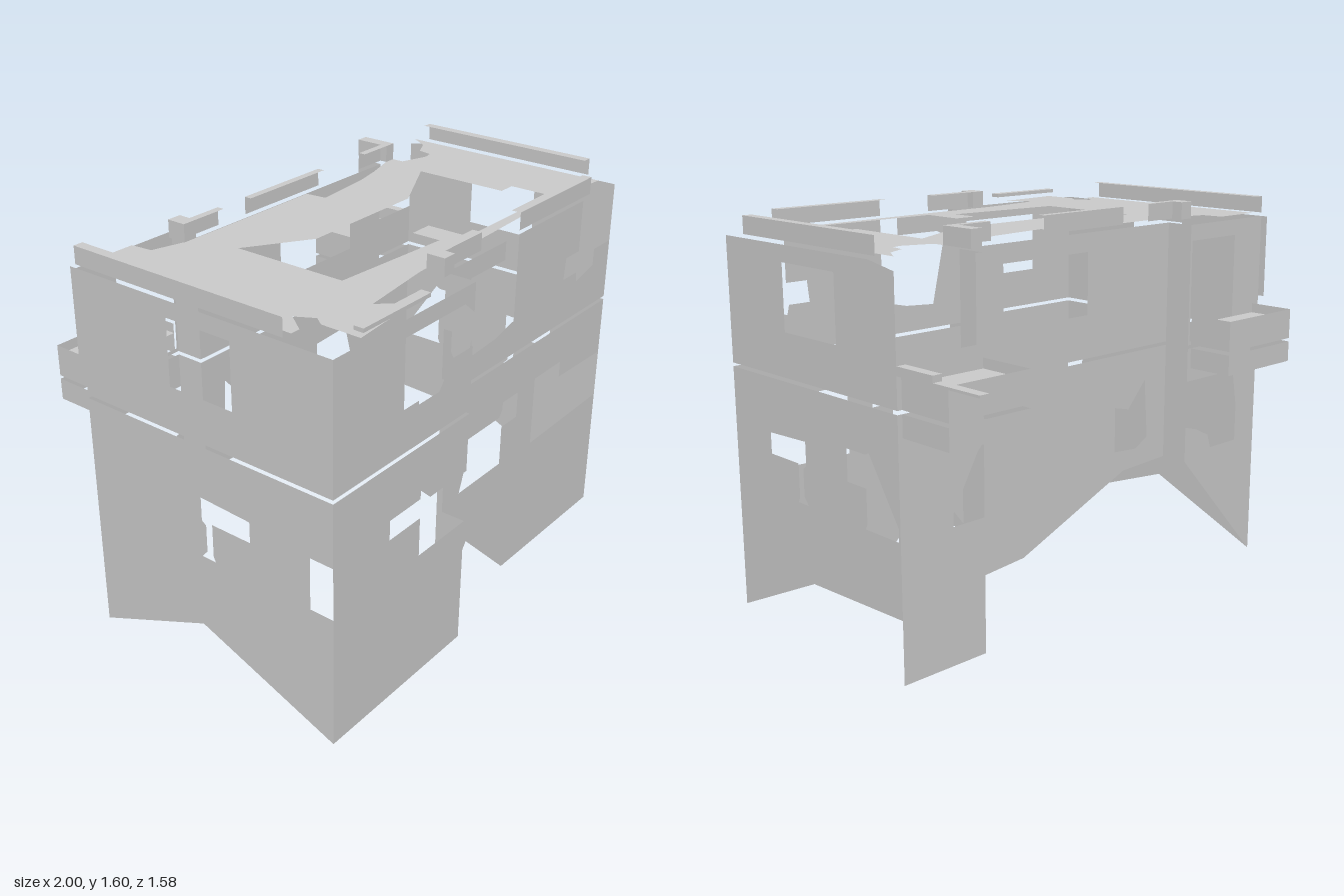
import * as THREE from 'three';

const mat = new THREE.MeshStandardMaterial({ color: 0xcccccc, side: THREE.DoubleSide, flatShading: true });
const rect = (a, b, c, d) => [[a, b], [c, b], [c, d], [a, d]];

export function createModel() {
  const g = new THREE.Group();
  const add = (name, geo) => {
    const m = new THREE.Mesh(geo, mat);
    m.name = name;
    g.add(m);
    return m;
  };
  const sheet = (outline, holes) => {
    const pts = (l) => l.map(([a, b]) => new THREE.Vector2(a, b));
    const s = new THREE.Shape(pts(outline));
    holes.forEach((h) => s.holes.push(new THREE.Path(pts(h))));
    return new THREE.ShapeGeometry(s);
  };
  // Sheets facing z (x, y points), facing x (z, y points) and lying flat (x, z points)
  const wallZ = (name, z, outline, ...holes) => add(name, sheet(outline, holes).translate(0, 0, z));
  const wallX = (name, x, outline, ...holes) =>
    add(name, sheet(outline, holes).rotateY(-Math.PI / 2).translate(x, 0, 0));
  const flat = (name, y, outline, ...holes) =>
    add(name, sheet(outline, holes).rotateX(Math.PI / 2).translate(0, y, 0));
  const box = (name, x0, x1, y0, y1, z0, z1) =>
    add(name, new THREE.BoxGeometry(x1 - x0, y1 - y0, z1 - z0)
      .translate((x0 + x1) / 2, (y0 + y1) / 2, (z0 + z1) / 2));

  const F = 0.665, BAY = 0.79, B = -0.25, BB = -0.37; // wall planes in z
  const SL = -0.53, SR = 0.61;                        // rear steps in x
  const sideWindow = [[0.42, 0.78], [0.19, 0.79], [0.19, 0.695], [0.21, 0.68], [0.21, 0.57],
    [0.185, 0.54], [0.25, 0.54], [0.24, 0.56], [0.24, 0.695], [0.42, 0.695]];

  // Lower storey: front
  wallZ('lowerFrontBay', BAY, [[-1, 0], [-0.22, 0], [-0.22, 0.54], [-0.51, 0.54], [-0.51, 0.7],
    [-0.69, 0.7], [-0.69, 0.78], [-0.51, 0.78], [-0.51, 0.815], [-0.45, 0.76], [-0.22, 0.76],
    [-0.22, 1], [-1, 1]]);
  wallX('lowerBaySide', -0.22, [[F, 0], [BAY, 0], [BAY, 0.54], [0.69, 0.54], [0.69, 0.76],
    [BAY, 0.76], [BAY, 1], [F, 1]]);
  wallZ('lowerFrontWall', F, [[-0.22, 0], [0, 0.28], [0.29, 0], [1, 0], [1, 0.54], [0.46, 0.53],
    [0.46, 0.83], [0.66, 0.83], [0.66, 0.76], [1, 0.75], [1, 1], [-0.22, 1]],
  [[-0.04, 0.76], [0.2, 0.76], [0.22, 0.79], [0.22, 0.82], [0.33, 0.82], [0.33, 0.71],
    [0.22, 0.71], [0.22, 0.54], [-0.07, 0.54], [-0.035, 0.64]]);

  // Lower storey: sides
  wallX('lowerLeftWall', 1, [[F, 0], [0.17, 0.23], [BB, 0.25], [BB, 1], [F, 1]], sideWindow,
    [[-0.07, 0.82], [-0.18, 0.82], [-0.2, 0.83], [-0.36, 0.59], [-0.36, 0.54], [-0.17, 0.54],
      [-0.18, 0.56], [-0.18, 0.695], [-0.07, 0.695]]);
  wallX('lowerRightWall', -1, [[BAY, 0], [0.17, 0.23], [BB, 0], [BB, 1], [BAY, 1], [BAY, 0.75],
    [0.69, 0.75], [0.69, 0.54], [BAY, 0.54]], sideWindow);

  // Lower storey: rear
  wallZ('lowerRearWall', B, [[SL, 0.51], [-0.275, 0.5], [0.3, 0.265], [SR, 0.24], [SR, 1], [SL, 1]],
    [[0.425, 0.62], [0.37, 0.83], [0.175, 0.82], [0.175, 0.58], [0.425, 0.55]],
    [[-0.22, 0.78], [-0.3, 0.76], [-0.4, 0.87], [-0.42, 0.62], [-0.35, 0.58], [-0.22, 0.59]]);
  wallZ('lowerRearBayRight', BB, [[-1, 0], [SL, 0.51], [SL, 0.66], [-0.6, 0.64], [-0.68, 0.6],
    [-0.7, 0.54], [-0.87, 0.54], [-0.87, 0.7], [-0.84, 0.86], [SL, 0.86], [SL, 1], [-1, 1]]);
  wallX('lowerRearStepRight', SL, rect(BB, 0.51, B, 1));
  wallZ('lowerRearBayLeft', BB, [[SR, 0], [1, 0], [1, 1], [SR, 1], [SR, 0.83], [0.64, 0.8],
    [0.76, 0.59], [0.76, 0.54], [SR, 0.54]]);
  wallX('lowerRearStepLeft', SR, rect(BB, 0, B, 1));

  // Upper storey: front
  wallZ('upperFrontBay', BAY, [[-1, 1.015], [-0.22, 1.015], [-0.22, 1.27], [-0.34, 1.27],
    [-0.42, 1.17], [-0.54, 1.17], [-0.54, 1.185], [-0.75, 1.185], [-0.75, 1.45], [-0.28, 1.45],
    [-0.22, 1.4], [-0.22, 1.515], [-1, 1.515]]);
  wallX('upperBaySide', -0.22, [[F, 1.515], [BAY, 1.515], [0.78, 1.27], [0.75, 1.13], [0.7, 1.22],
    [0.7, 1.3], [F, 1.3]]);
  wallX('upperBaySideBase', -0.22, rect(F, 1.015, BAY, 1.1));
  wallZ('upperFrontWall', F, [[-0.22, 1.015], [1, 1.015], [1, 1.27], [0.87, 1.27], [0.87, 1.2],
    [0.74, 1.17], [0.73, 1.21], [0.63, 1.21], [0.64, 1.3], [0.74, 1.3], [0.74, 1.515],
    [0.26, 1.515], [0.26, 1.16], [0.13, 1.13], [-0.02, 1.12], [-0.09, 1.42], [-0.05, 1.44],
    [0.17, 1.44], [0.17, 1.515], [-0.22, 1.515]]);

  // Upper storey: sides
  wallX('upperLeftWall', 1, [[F, 1.015], [F, 1.515], [-0.23, 1.515], [BB, 1.49], [BB, 1.015]],
    rect(-0.03, 1.19, 0.29, 1.45));
  wallX('upperRightWall', -1, [[BAY, 1.015], [BAY, 1.515], [-0.4, 1.515], [-0.4, 1.17],
    [BB, 1.17], [BB, 1.015]], rect(0.07, 1.19, 0.36, 1.45));

  // Upper storey: rear
  wallZ('upperRearWall', B, rect(SL, 1.015, SR, 1.515), rect(-0.05, 1.19, 0.4, 1.44));
  wallZ('upperRearBayRight', BB, rect(-1, 1.015, SL, 1.515), rect(-0.82, 1.03, -0.54, 1.45));
  wallX('upperRearStepRight', SL, rect(BB, 1.015, B, 1.515));
  wallZ('upperRearBayLeft', BB, [[SR, 1.015], [1, 1.015], [1, 1.19], [0.64, 1.19], [0.64, 1.515],
    [SR, 1.515]]);
  wallX('upperRearStepLeft', SR, rect(BB, 1.015, B, 1.515));

  // Broken roof slab with its large central opening
  flat('roof', 1.53, [[-0.96, -0.35], [-0.75, -0.35], [-0.74, -0.26], [-0.6, -0.22], [0.08, -0.22],
    [0.09, -0.13], [0.35, -0.155], [0.47, -0.18], [0.61, -0.22], [0.66, -0.22], [0.66, -0.17],
    [0.78, -0.13], [0.82, -0.14], [0.83, -0.2], [0.91, -0.24], [0.96, -0.32], [0.96, 0.61],
    [0.66, 0.58], [0.14, 0.6], [-0.3, 0.61], [-0.62, 0.65], [-0.53, 0.75], [-0.85, 0.78],
    [-0.85, 0.62], [-0.82, 0.58], [-0.86, 0.51], [-0.92, 0.59], [-0.96, 0.59]],
  [[-0.53, -0.03], [-0.28, 0.13], [0.29, 0.13], [0.6, -0.03], [0.6, 0.37], [0.675, 0.37],
    [0.675, 0.55], [0.09, 0.55], [0.09, 0.37], [-0.01, 0.37], [-0.01, 0.49], [-0.53, 0.45]]);

  // Remaining lengths of cornice: upright plus a flat lip
  [[-0.6, -0.4], [-0.25, 0.19], [0.46, 0.61]].forEach(([a, b]) => {
    wallZ('rearCornice', B, rect(a, 1.53, b, 1.6));
    flat('rearCorniceLip', 1.6, rect(a, B, b, B + 0.03));
  });
  [[-0.25, 0], [0.26, 0.79]].forEach(([a, b]) => {
    wallZ('frontCornice', F, rect(a, 1.53, b, 1.6));
    flat('frontCorniceLip', 1.6, rect(a, F - 0.04, b, F));
  });
  [[-1, -0.96, BB, 0.59], [1, 0.96, -0.27, 0.54]].forEach(([x, xi, z0, z1]) => {
    wallX('sideCornice', x, rect(z0, 1.53, z1, 1.6));
    flat('sideCorniceLip', 1.6, rect(x, z0, xi, z1));
  });
  box('bayCornice', -0.85, -0.49, 1.55, 1.565, 0.75, 0.79);
  box('frontCorniceEnd', -0.29, -0.23, 1.53, 1.6, 0.63, 0.705);
  box('rearCorniceEnd', -0.61, -0.55, 1.53, 1.6, -0.3, -0.22);
  box('rearCorniceEnd', 0.61, 0.66, 1.53, 1.6, BB, -0.22);

  // Rear balconies: deck with an upper and a lower rim
  [['rightBalcony', -0.96, -0.55, -0.57], ['leftBalcony', 0.61, 0.98, -0.615]].forEach(([n, a, b, z]) => {
    flat(n + 'Deck', 1.1, rect(a, z, b, BB));
    [[0.915, 1], [1.015, 1.14]].forEach(([y0, y1]) => {
      wallZ(n + 'Rim', z, rect(a, y0, b, y1));
      wallX(n + 'RimEnd', a, rect(z, y0, BB, y1));
      wallX(n + 'RimEnd', b, rect(z, y0, BB, y1));
    });
  });
  box('balconyRail', 0.96, 1, 1.135, 1.145, -0.79, BB);
  box('balconyRailBlock', 0.96, 1, 1.145, 1.17, -0.56, BB);
  return g;
}
